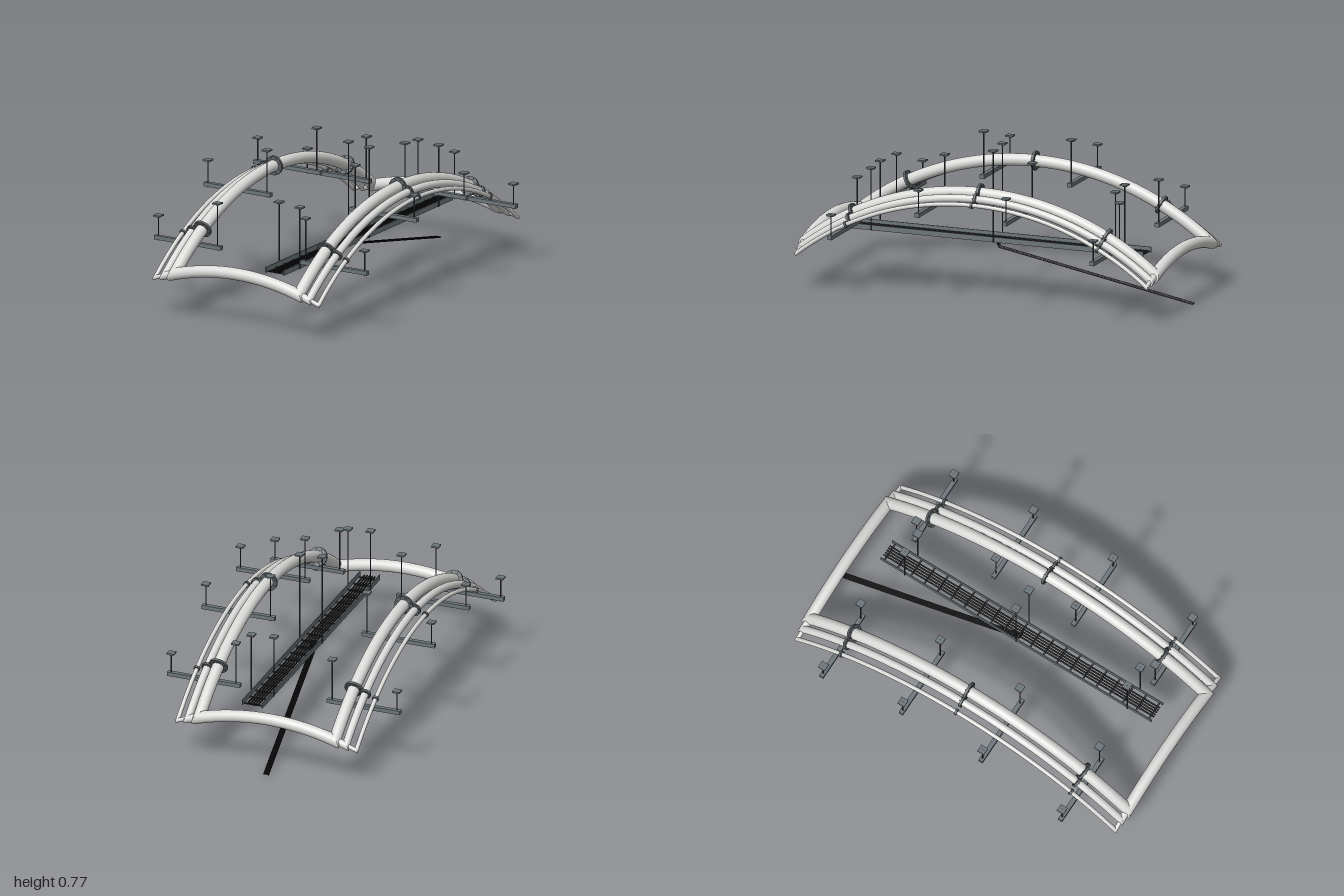
import * as THREE from 'three';

const V = (x, y, z) => new THREE.Vector3(x, y, z);
const mat = (name, color) => {
  const m = new THREE.MeshStandardMaterial({ color });
  m.name = name;
  return m;
};

const CZ = 0.013;        // middle of the arch along z
const HALF = 0.957;      // half length of the arch
const R = 1.525;         // arch radius

class FnCurve extends THREE.Curve {
  constructor(fn) { super(); this.fn = fn; }
  getPoint(t, target = new THREE.Vector3()) { return target.copy(this.fn(t)); }
}

export function createModel() {
  const model = new THREE.Group();
  const pipeMat = mat('pale pipe', 0xd9d9d7);
  const flangeMat = mat('dark flange', 0x5a6064);
  const steelMat = mat('steel grey', 0x6c757a);
  const rodMat = mat('rod grey', 0x3c4043);
  const cableMat = mat('black cable', 0x161616);

  const add = (parent, name, geo, material, pos) => {
    const mesh = new THREE.Mesh(geo, material);
    mesh.name = name;
    if (pos) mesh.position.copy(pos);
    parent.add(mesh);
    return mesh;
  };
  const group = (name) => {
    const g = new THREE.Group();
    g.name = name;
    model.add(g);
    return g;
  };

  // Height and direction of the long arch at a distance d from its middle
  const archY = (d, drop) => 0.575 - drop - (R - Math.sqrt(R * R - d * d));
  const archDir = (d) => V(0, -d, Math.sqrt(R * R - d * d)).normalize();

  // Tube whose two end rings are slid onto mitre planes
  const mitredTube = (curve, segs, r, sides, startNormal, endNormal) => {
    const geo = new THREE.TubeGeometry(curve, segs, r, sides);
    const pos = geo.attributes.position;
    const v = new THREE.Vector3();
    [[0, 0, startNormal], [segs, 1, endNormal]].forEach(([ring, t, n]) => {
      const p = curve.getPointAt(t), dir = curve.getTangentAt(t);
      for (let j = 0; j <= sides; j++) {
        const k = ring * (sides + 1) + j;
        v.fromBufferAttribute(pos, k);
        const slide = -v.clone().sub(p).dot(n) / dir.dot(n);
        v.addScaledVector(dir, slide);
        pos.setXYZ(k, v.x, v.y, v.z);
      }
    });
    return geo;
  };

  // Three nested pipe loops: half width, pipe radius, drop, flange radius
  const loops = [
    ['large', 0.37, 0.031, 0, 0.05],
    ['medium', 0.43, 0.02, 0.018, 0.031],
    ['small', 0.487, 0.011, 0.036, 0.017],
  ];
  for (const [size, w, r, drop, fr] of loops) {
    const g = group(size + 'PipeLoop');
    const endY = archY(HALF, drop);
    const sag = 0.4 * w * w;
    const sideCurve = (s) => new FnCurve((t) => {
      const d = (t * 2 - 1) * HALF;
      return V(s * w, archY(d, drop), CZ + d);
    });
    const crossCurve = (s) => new FnCurve((t) => {
      const x = (t * 2 - 1) * w;
      return V(x, endY + sag - 0.4 * x * x, CZ + s * HALF);
    });
    // Mitre plane between a long pipe and a cross pipe
    const mitre = (sx, sz) => {
      const a = archDir(sz * HALF).multiplyScalar(sz);
      const b = V(-sx, 0.8 * w, 0).normalize();
      return a.add(b).normalize();
    };
    for (const s of [-1, 1]) {
      add(g, 'archPipe', mitredTube(sideCurve(s), 44, r, 20, mitre(s, -1), mitre(s, 1)), pipeMat);
      add(g, 'crossPipe', mitredTube(crossCurve(s), 18, r, 20, mitre(-1, s), mitre(1, s)), pipeMat);

      // Bolted flanges along each long pipe
      for (const d of [-0.69, 0, 0.69]) {
        const joint = new THREE.Group();
        joint.name = 'flangeJoint';
        joint.position.set(s * w, archY(d, drop), CZ + d);
        joint.quaternion.setFromUnitVectors(V(0, 1, 0), archDir(d));
        g.add(joint);
        add(joint, 'flange', new THREE.CylinderGeometry(fr, fr, 0.013, 24), flangeMat);
        const bolt = new THREE.CylinderGeometry(fr * 0.07, fr * 0.07, 0.022, 6);
        for (let i = 0; i < 8 && size !== 'small'; i++) {
          const a = (i + 0.5) * Math.PI / 4, br = (fr + r) / 2;
          add(joint, 'bolt', bolt, flangeMat, V(br * Math.cos(a), 0, br * Math.sin(a)));
        }
      }
    }
  }

  // Threaded rod with a ceiling plate and nut
  const hangerRod = (g, x, z, bottom, top) => {
    const rod = new THREE.CylinderGeometry(0.0035, 0.0035, top - bottom, 8);
    add(g, 'hangerRod', rod, rodMat, V(x, (top + bottom) / 2, z));
    add(g, 'ceilingPlate', new THREE.BoxGeometry(0.04, 0.008, 0.04), steelMat, V(x, top - 0.004, z));
    add(g, 'plateNut', new THREE.CylinderGeometry(0.009, 0.009, 0.006, 6), rodMat, V(x, top - 0.011, z));
  };

  // Trapeze supports under both arches
  const trapezes = [
    [-0.719, 0.335, 0.455, 0.572],
    [-0.24, 0.498, 0.63, 0.735],
    [0.24, 0.498, 0.63, 0.735],
    [0.719, 0.335, 0.455, 0.572],
  ];
  for (const s of [-1, 1]) {
    for (const [d, y, outerTop, innerTop] of trapezes) {
      const g = group('trapezeSupport');
      add(g, 'trapezeBar', new THREE.BoxGeometry(0.398, 0.021, 0.024), steelMat, V(s * 0.436, y, CZ + d));
      hangerRod(g, s * 0.615, CZ + d, y - 0.016, outerTop);
      hangerRod(g, s * 0.263, CZ + d, y - 0.016, innerTop);
    }
  }

  // Ladder cable tray
  const tray = group('cableTray');
  const TX = 0.135, TY = 0.291, TZ = 0.01, TL = 1.632;
  for (const s of [-1, 1]) {
    add(tray, 'trayRail', new THREE.BoxGeometry(0.005, 0.028, TL), steelMat, V(TX + s * 0.054, TY, TZ));
  }
  const rung = new THREE.BoxGeometry(0.108, 0.006, 0.009);
  for (let i = 0; i < 21; i++) {
    add(tray, 'trayRung', rung, rodMat, V(TX, TY - 0.01, TZ + (i / 20 - 0.5) * (TL - 0.04)));
  }
  for (const [d, top] of [[-0.67, 0.619], [0, 0.772], [0.67, 0.619]]) {
    hangerRod(tray, 0.075, CZ + d, TY - 0.012, top);
    hangerRod(tray, 0.198, CZ + d, TY - 0.012, top - 0.01);
  }

  // Cables lying in the tray, and the bundle that drops to the ground
  const cables = group('cables');
  for (let i = -2; i <= 2; i++) {
    const lay = new THREE.CylinderGeometry(0.0045, 0.0045, TL - 0.004, 8).rotateX(Math.PI / 2);
    add(cables, 'trayCable', lay, cableMat, V(TX + i * 0.014, TY - 0.003, TZ));
    const o = i * 0.0062;
    const path = new THREE.CurvePath();
    const a = V(0.125 + o, TY, CZ), b = V(0.125 + o, 0.242, CZ), c = V(-0.015 + o, 0.004, -0.998);
    path.add(new THREE.LineCurve3(a, b));
    path.add(new THREE.LineCurve3(b, c));
    add(cables, 'dropCable', new THREE.TubeGeometry(path, 60, 0.0037, 8), cableMat);
  }
  return model;
}
